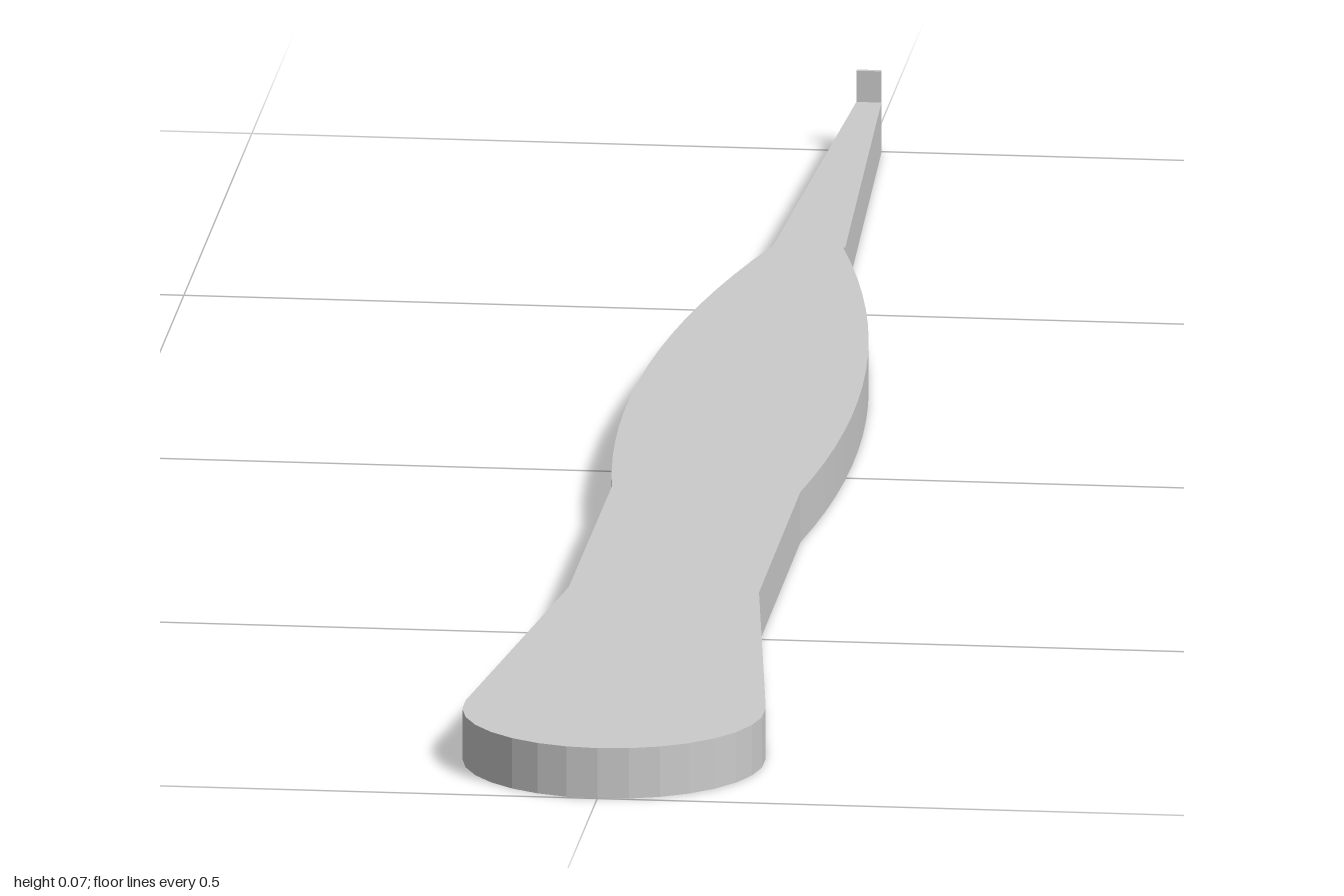
import * as THREE from 'three';

const THICKNESS = 0.042;
const TIP = 0.01; // half width of the narrow end

export function createModel() {
  const group = new THREE.Group();
  group.name = 'slimHandTool';
  const material = new THREE.MeshStandardMaterial({ color: 0xcccccc, flatShading: true });

  // Plan outline: tapered tip, bulging belly, straight waist, flared round end
  const radius = 2, centre = 0.092 - radius, bellyZ = -0.05;
  const from = Math.asin(-0.5 / radius), to = Math.asin(0.25 / radius);
  const outline = new THREE.Shape();
  outline.moveTo(TIP, -1);
  outline.lineTo(0.03, -0.55);
  outline.absarc(centre, bellyZ, radius, from, to, false);
  outline.lineTo(0.077, 0.51);
  outline.lineTo(0.121, 0.86);
  outline.absarc(0, 0.878, 0.122, -0.1, Math.PI + 0.1, false);
  outline.lineTo(-0.077, 0.51);
  outline.absarc(-centre, bellyZ, radius, Math.PI - to, Math.PI - from, false);
  outline.lineTo(-TIP, -1);
  outline.closePath();

  // Flat handle, laid down so the outline runs along z
  const handleGeometry = new THREE.ExtrudeGeometry(outline, {
    depth: THICKNESS, bevelEnabled: false, curveSegments: 8,
  });
  handleGeometry.rotateX(Math.PI / 2).translate(0, THICKNESS, 0);
  const handle = new THREE.Mesh(handleGeometry, material);
  handle.name = 'handle';

  // Small upright lip at the narrow end
  const lipHeight = 0.068, lipDepth = 0.004;
  const lip = new THREE.Mesh(new THREE.BoxGeometry(TIP * 2, lipHeight, lipDepth), material);
  lip.position.set(0, lipHeight / 2, -1 + lipDepth / 2);
  lip.name = 'tipLip';

  group.add(handle, lip);
  return group;
}
